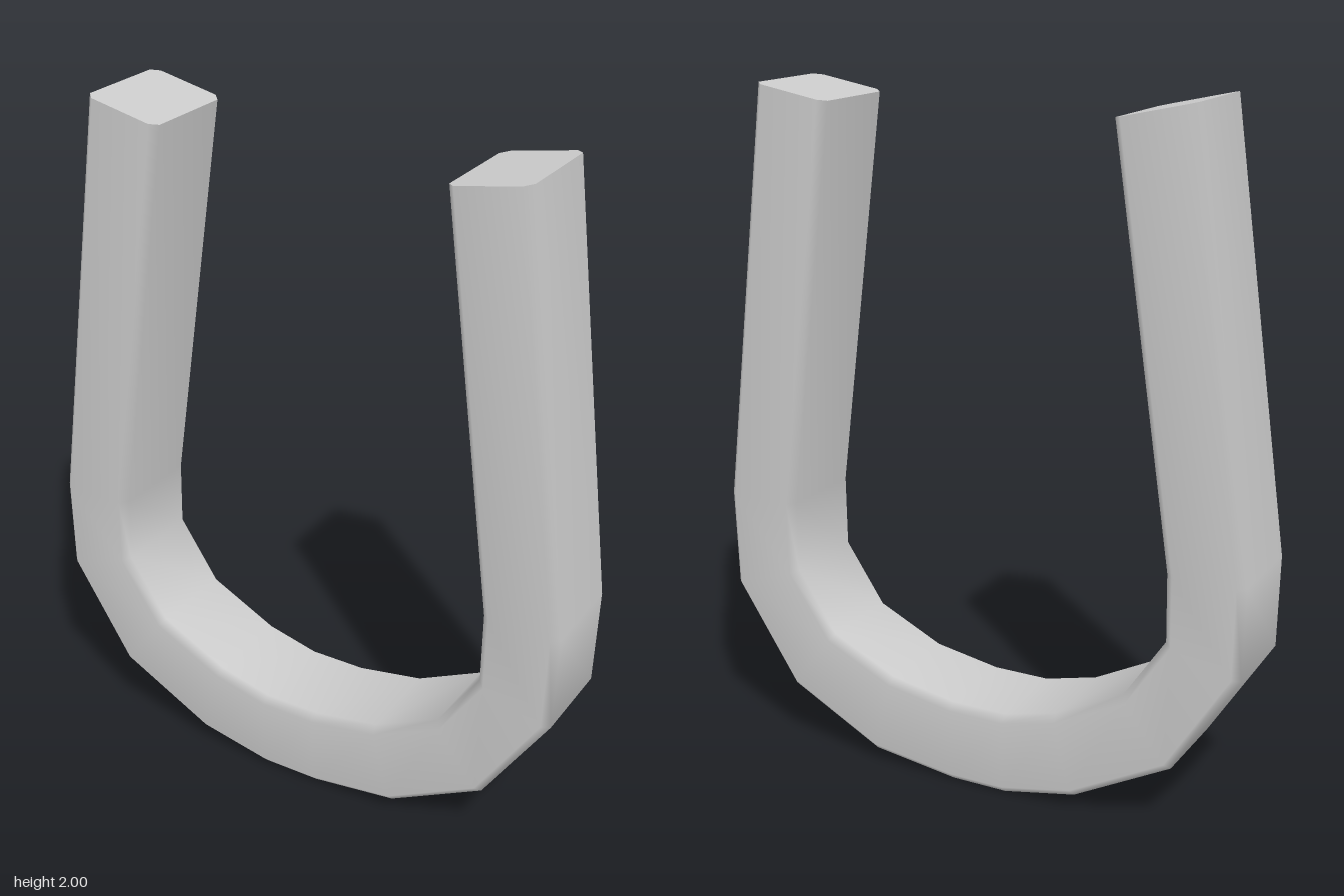
import * as THREE from 'three';

// Stations along the U, left end to right end: outer x, y, inner x, y
const STATIONS = [
  [-0.64, 2.0, -0.415, 1.95],
  [-0.815, 0.77, -0.592, 0.77],
  [-0.81, 0.505, -0.595, 0.575],
  [-0.62, 0.205, -0.475, 0.395],
  [-0.33, 0.05, -0.27, 0.29],
  [-0.11, 0.005, -0.11, 0.25],
  [0.06, 0.005, 0.06, 0.25],
  [0.32, 0.04, 0.26, 0.285],
  [0.605, 0.19, 0.46, 0.38],
  [0.80, 0.485, 0.582, 0.56],
  [0.81, 0.77, 0.585, 0.77],
  [0.66, 1.985, 0.435, 1.945],
];
const HALF_DEPTH = 0.155;
const BEVEL = 0.022;

// Bevelled rectangle at one station, counterclockwise along the sweep
function section([ox, oy, ix, iy]) {
  const b = BEVEL / Math.hypot(ix - ox, iy - oy);
  const h = HALF_DEPTH, k = HALF_DEPTH - BEVEL;
  return [
    [b, -h], [1 - b, -h], [1, -k], [1, k],
    [1 - b, h], [b, h], [0, k], [0, -k],
  ].map(([u, z]) => [ox + (ix - ox) * u, oy + (iy - oy) * u, z]);
}

function sweptBar(stations) {
  const rings = stations.map(section);
  const n = rings[0].length;
  const positions = rings.flat(2);
  const index = [];

  // Sides
  for (let i = 0; i < rings.length - 1; i++) {
    for (let j = 0; j < n; j++) {
      const a = i * n + j, b = i * n + (j + 1) % n;
      index.push(a, b, a + n, b, b + n, a + n);
    }
  }

  // Flat end caps with their own vertices, so the rims stay sharp
  const addCap = (ring, flip) => {
    const base = positions.length / 3;
    positions.push(...ring.flat());
    for (let j = 1; j < n - 1; j++) {
      if (flip) index.push(base, base + j + 1, base + j);
      else index.push(base, base + j, base + j + 1);
    }
  };
  addCap(rings[0], true);
  addCap(rings[rings.length - 1], false);

  const geometry = new THREE.BufferGeometry();
  geometry.setAttribute('position', new THREE.Float32BufferAttribute(positions, 3));
  geometry.setIndex(index);
  geometry.computeVertexNormals();
  return geometry;
}

export function createModel() {
  const group = new THREE.Group();
  group.name = 'uShapedBar';
  const bar = new THREE.Mesh(
    sweptBar(STATIONS),
    new THREE.MeshStandardMaterial({ color: 0xcccccc })
  );
  bar.name = 'bentBar';
  group.add(bar);
  return group;
}
